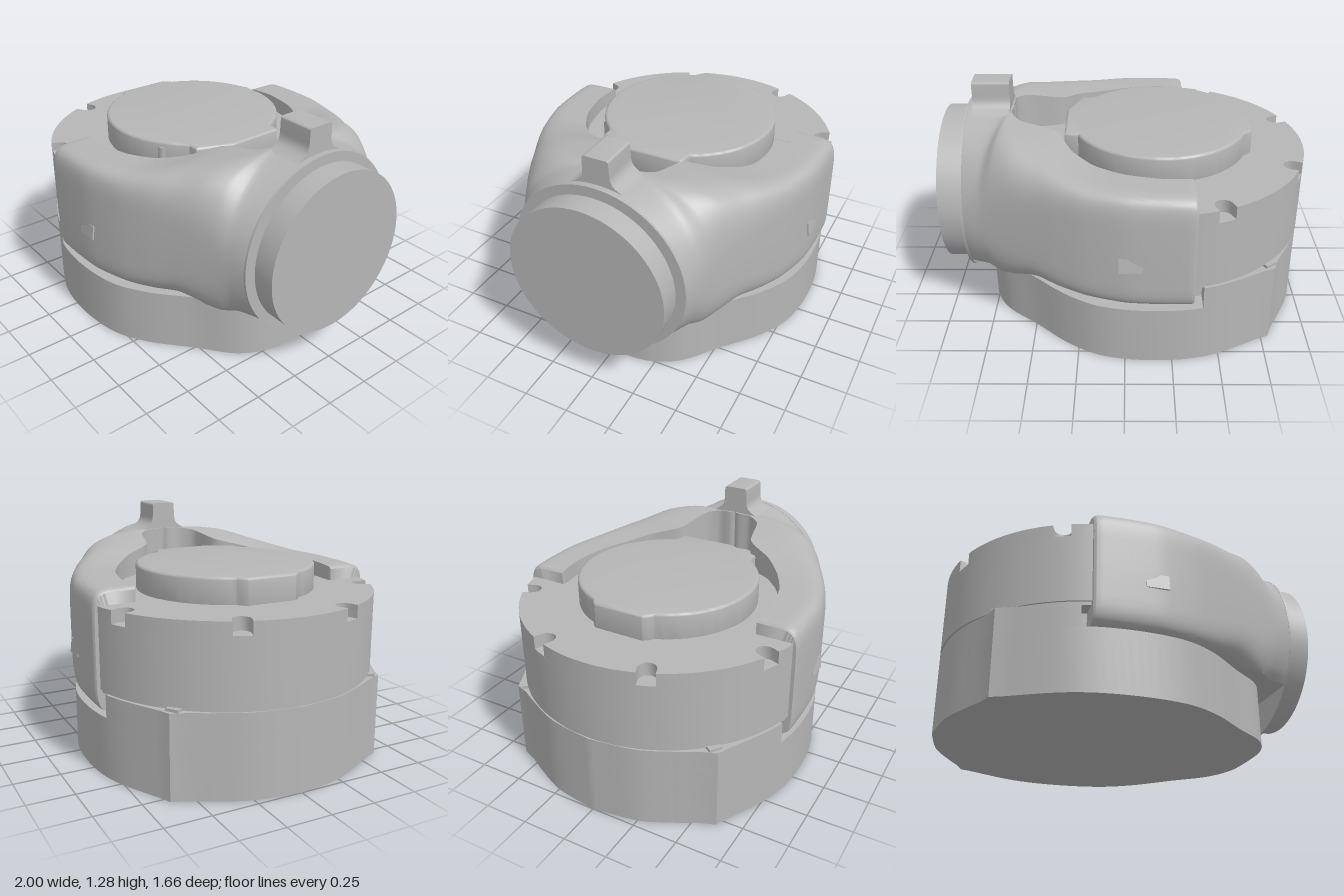
import * as THREE from 'three';
import { toCreasedNormals } from 'three/addons/utils/BufferGeometryUtils.js';

const CX = -0.18;   // axis of the round housing
const CY = 0.65;    // height of the outlet axis

export function createModel() {
  const model = new THREE.Group();
  const grey = new THREE.MeshStandardMaterial({ color: 0xb6b6b6 });
  grey.name = 'castGrey';

  function add(name, geometry, crease = 0.6) {
    const mesh = new THREE.Mesh(toCreasedNormals(geometry, crease), grey);
    mesh.name = name;
    model.add(mesh);
    return mesh;
  }

  // Horizontal slab from [x, z] points, between two heights
  function slab(points, y0, y1, bevel = 0) {
    const shape = new THREE.Shape(points.map(([x, z]) => new THREE.Vector2(x, -z)));
    const g = new THREE.ExtrudeGeometry(shape, {
      depth: y1 - y0 - bevel, bevelEnabled: bevel > 0, bevelSize: bevel,
      bevelThickness: bevel, bevelOffset: -bevel, bevelSegments: 3,
    });
    return g.rotateX(-Math.PI / 2).translate(0, y0, 0);
  }

  const polar = (r, a, cx = CX) => [cx + r * Math.cos(a), r * Math.sin(a)];
  function arc(r, a0, a1, n, cx = CX) {
    return Array.from({ length: n + 1 }, (_, i) => polar(r, a0 + (a1 - a0) * i / n, cx));
  }

  // Base outline: smooth nose, a small corner lug, round back; mirrored in z
  const smooth = (pts, n) => new THREE.SplineCurve(pts.map(p => new THREE.Vector2(...p)))
    .getPoints(n).map(p => [p.x, p.y]);
  const half = [
    ...smooth([[0.78, 0], [0.765, 0.2], [0.68, 0.37], [0.5, 0.52], [0.3, 0.69], [0.1, 0.79],
      [-0.18, 0.82], [-0.45, 0.78], [-0.74, 0.64]], 48),
    [-0.79, 0.62], [-0.82, 0.54],
    ...smooth([[-0.87, 0.45], [-0.96, 0.25], [-1, 0]], 14),
  ];
  const mirrorZ = pts => [...pts, ...pts.slice(1, -1).reverse().map(([x, z]) => [x, -z])];
  add('base', slab(mirrorZ(half), 0, 0.33));

  // Raised rear of the base
  const rear = half.filter(([x]) => x < -0.36);
  add('baseRear', slab([...rear, ...rear.slice(0, -1).reverse().map(([x, z]) => [x, -z])], 0.325, 0.455));

  // Round housing: core, rear shell and notched rim
  add('housingCore', new THREE.CylinderGeometry(0.72, 0.72, 0.569, 64).translate(CX, 0.6145, 0));
  const A = Math.acos(-0.16 / 0.82);
  const B = 2 * Math.PI - A;
  add('seam', slab(arc(0.81, A, B, 48), 0.45, 0.475));
  add('housingShell', slab(arc(0.82, A, B, 48), 0.468, 0.83));
  const rim = [];
  let from = A;
  for (const a of [1.977, 2.752, 2 * Math.PI - 2.752, 2 * Math.PI - 1.977]) {
    rim.push(...arc(0.82, from, a - 0.058, 14));
    for (let i = 0; i <= 8; i++) {
      const t = -Math.PI / 2 + Math.PI * i / 8;
      rim.push(polar(0.775 - 0.05 * Math.cos(t), a + 0.062 * Math.sin(t)));
    }
    from = a + 0.058;
  }
  rim.push(...arc(0.82, from, B, 14));
  add('housingRim', slab(rim, 0.83, 0.9));
  add('pocketFloor', new THREE.BoxGeometry(0.4, 0.5, 0.46).translate(0.46, 0.645, 0));

  // Raised lid with a tab at each end
  const lid = [
    [0.33, -0.19], [0.335, 0.12], [0.26, 0.31], [0.2, 0.31],
    ...arc(0.49, 0.76, 2.76, 36, -0.19),
    [-0.67, 0.165], [-0.69, 0.14], [-0.69, -0.14], [-0.67, -0.165],
    ...arc(0.49, 3.52, 5.85, 36, -0.19), [0.31, -0.2],
  ];
  add('lid', slab(lid, 0.89, 1.04, 0.015));
  add('lidPin', new THREE.CylinderGeometry(0.03, 0.03, 0.11, 20).translate(0.07, 0.955, 0.39));

  // Collar: a section swept along each arm, turning from boxy to round at the outlet
  // Columns: outer x, outer z, squareness, inner x, inner z, top height
  const stations = [
    [-0.355, 0.82, 7, -0.355, 0.6, 0.965], [-0.33, 0.83, 7, -0.33, 0.595, 0.98],
    [-0.19, 0.83, 7, -0.19, 0.605, 0.985], [0.0, 0.82, 7, 0.0, 0.57, 0.99],
    [0.2, 0.77, 6.5, 0.16, 0.49, 1.0], [0.35, 0.71, 5.5, 0.28, 0.38, 1.03],
    [0.48, 0.65, 4.5, 0.37, 0.23, 1.07], [0.6, 0.595, 3.6, 0.56, 0.18, 1.105],
    [0.7, 0.55, 2.9, 0.62, 0.1, 1.12], [0.77, 0.52, 2.4, 0.63, 0, 1.125],
    [0.86, 0.487, 2, 0.86, 0, 1.138],
  ];
  const curve = k => new THREE.CatmullRomCurve3(
    stations.map(s => new THREE.Vector3(s[k], s[k + 1], s[k + 2])), false, 'catmullrom', 0.35);
  const outer = curve(0), inner = curve(3);

  function collarHalf(side) {
    const rows = 50, steps = 32, cols = steps + 3, pos = [], idx = [];
    for (let i = 0; i <= rows; i++) {
      const o = outer.getPoint(i / rows), n = inner.getPoint(i / rows);
      const up = n.z - CY;
      const low = 0.31 + 0.18 * THREE.MathUtils.smoothstep(o.x, 0.45, 0.86);
      const put = (u, y) => pos.push(n.x + (o.x - n.x) * u, y, side * Math.max(0, n.y + (o.y - n.y) * u));
      put(0, 0.34);
      for (let j = 0; j <= steps; j++) {
        const a = Math.PI * j / steps, c = Math.cos(a);
        const v = Math.sign(c) * Math.abs(c) ** (2 / o.z);
        const u = Math.max(0, Math.sin(a)) ** (2 / o.z);
        put(u, Math.max(0.34, CY + v * (v > 0 ? up : low)));
      }
      put(0, 0.34);
    }
    const tri = (a, b, c) => side > 0 ? idx.push(a, b, c) : idx.push(a, c, b);
    for (let i = 0; i < rows; i++) {
      for (let j = 0; j < cols - 1; j++) {
        const a = i * cols + j, c = a + cols;
        tri(a, a + 1, c);
        tri(a + 1, c + 1, c);
      }
    }
    for (let j = 1; j < cols - 1; j++) tri(0, j + 1, j);   // arm end
    const g = new THREE.BufferGeometry();
    g.setAttribute('position', new THREE.Float32BufferAttribute(pos, 3));
    g.setIndex(idx);
    return g;
  }

  for (const side of [1, -1]) {
    const label = side > 0 ? 'left' : 'right';
    add(label + 'CollarArm', collarHalf(side), 0.7);
    // Small slanted pad on the arm's outer wall
    const pad = add(label + 'ArmPad', new THREE.BoxGeometry(0.12, 0.08, 0.009));
    pad.position.set(-0.03, 0.61, side * 0.822);
    pad.rotation.x = -side * 0.12;
    // Latch on the base corner
    const latch = add(label + 'Latch', new THREE.BoxGeometry(0.07, 0.03, 0.04));
    latch.position.set(-0.765, 0.455, side * 0.585);
    latch.rotation.y = -side * 0.6;
  }

  // Upright tab with flared foot over the outlet
  const tab = new THREE.Shape();
  tab.moveTo(-0.22, 1.06);
  tab.lineTo(0.22, 1.06);
  tab.lineTo(0.17, 1.105);
  tab.bezierCurveTo(0.1, 1.135, 0.075, 1.15, 0.074, 1.2);
  tab.lineTo(0.072, 1.265);
  tab.quadraticCurveTo(0.072, 1.28, 0.055, 1.28);
  tab.lineTo(-0.055, 1.28);
  tab.quadraticCurveTo(-0.072, 1.28, -0.072, 1.265);
  tab.lineTo(-0.074, 1.2);
  tab.bezierCurveTo(-0.075, 1.15, -0.1, 1.135, -0.17, 1.105);
  add('tab', new THREE.ExtrudeGeometry(tab, { depth: 0.205, bevelEnabled: false, curveSegments: 10 })
    .rotateY(Math.PI / 2).translate(0.628, 0, 0));

  // Outlet: thin flange and round spigot
  const disc = (r, x0, x1) => new THREE.CylinderGeometry(r, r, x1 - x0, 72)
    .rotateZ(-Math.PI / 2).translate((x0 + x1) / 2, CY, 0);
  add('flange', disc(0.49, 0.857, 0.87));
  add('spigotNeck', disc(0.425, 0.86, 0.89));
  add('spigot', disc(0.44, 0.88, 1.0));

  return model;
}
